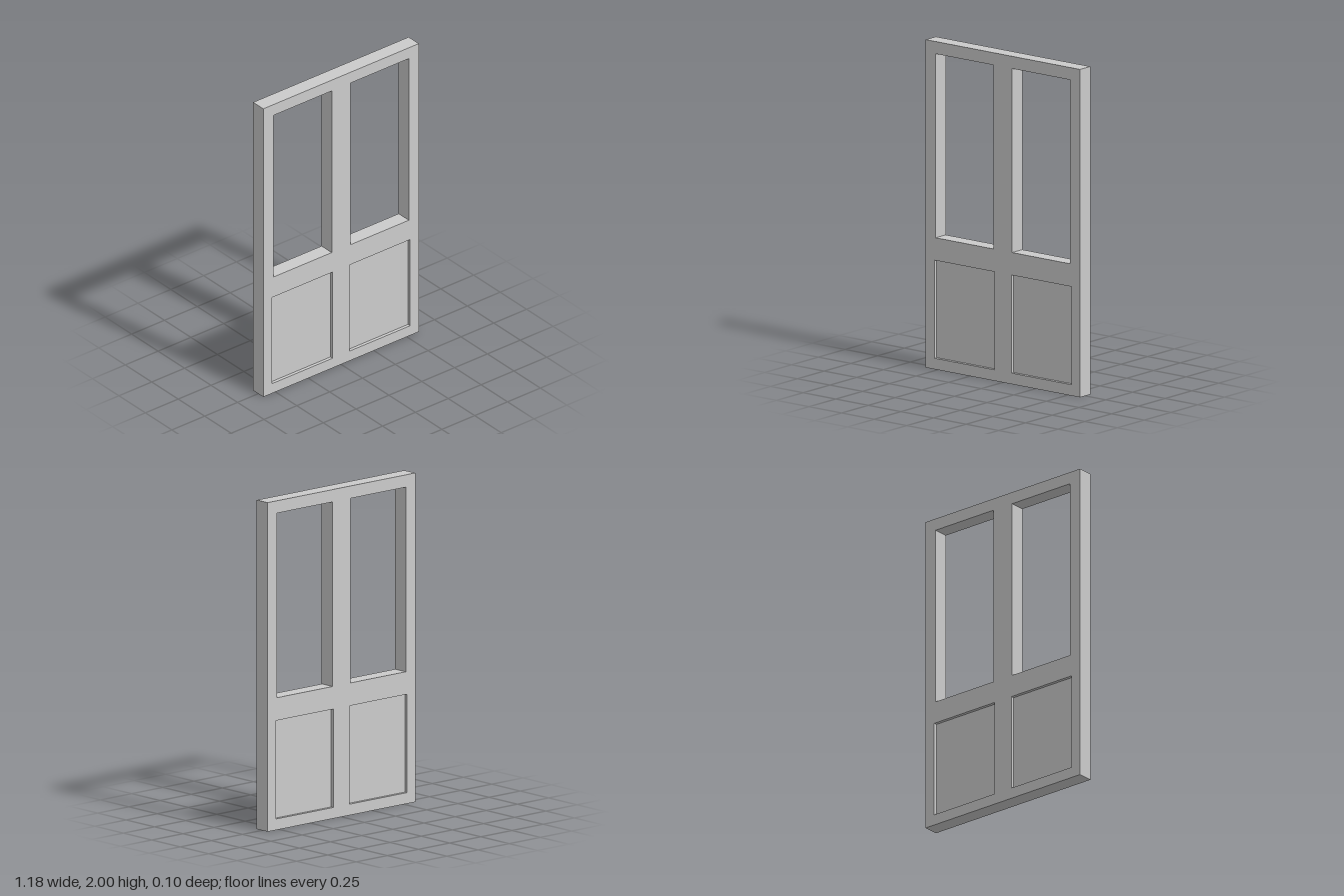
import * as THREE from 'three';

const DEPTH = 0.096;
const RECESS = 0.02; // panel setback on each face

// Counter-clockwise rectangle outline, usable as shape or hole
function rect(path, x0, x1, y0, y1) {
  path.moveTo(x0, y0);
  path.lineTo(x1, y0);
  path.lineTo(x1, y1);
  path.lineTo(x0, y1);
  path.closePath();
  return path;
}

export function createModel() {
  const door = new THREE.Group();
  door.name = 'doubleDoor';
  const material = new THREE.MeshStandardMaterial({ color: 0xcccccc, flatShading: true });

  const window_ = { x0: 0.071, x1: 0.516, y0: 0.803, y1: 1.925 };
  const panel = { x0: 0.065, x1: 0.526, y0: 0.067, y1: 0.665 };

  // Frame with two window openings above and two panel openings below
  const outline = rect(new THREE.Shape(), -0.592, 0.592, 0, 2);
  for (const o of [window_, panel]) {
    outline.holes.push(rect(new THREE.Path(), o.x0, o.x1, o.y0, o.y1));
    outline.holes.push(rect(new THREE.Path(), -o.x1, -o.x0, o.y0, o.y1));
  }
  const frameGeometry = new THREE.ExtrudeGeometry(outline, { depth: DEPTH, bevelEnabled: false });
  frameGeometry.translate(0, 0, -DEPTH / 2);
  const frame = new THREE.Mesh(frameGeometry, material);
  frame.name = 'doorFrame';
  door.add(frame);

  // Recessed lower panels, set back on both faces
  const panelGeometry = new THREE.BoxGeometry(panel.x1 - panel.x0, panel.y1 - panel.y0, DEPTH - 2 * RECESS);
  for (const [side, name] of [[1, 'leftPanel'], [-1, 'rightPanel']]) {
    const mesh = new THREE.Mesh(panelGeometry, material);
    mesh.name = name;
    mesh.position.set(side * (panel.x0 + panel.x1) / 2, (panel.y0 + panel.y1) / 2, 0);
    door.add(mesh);
  }

  return door;
}
